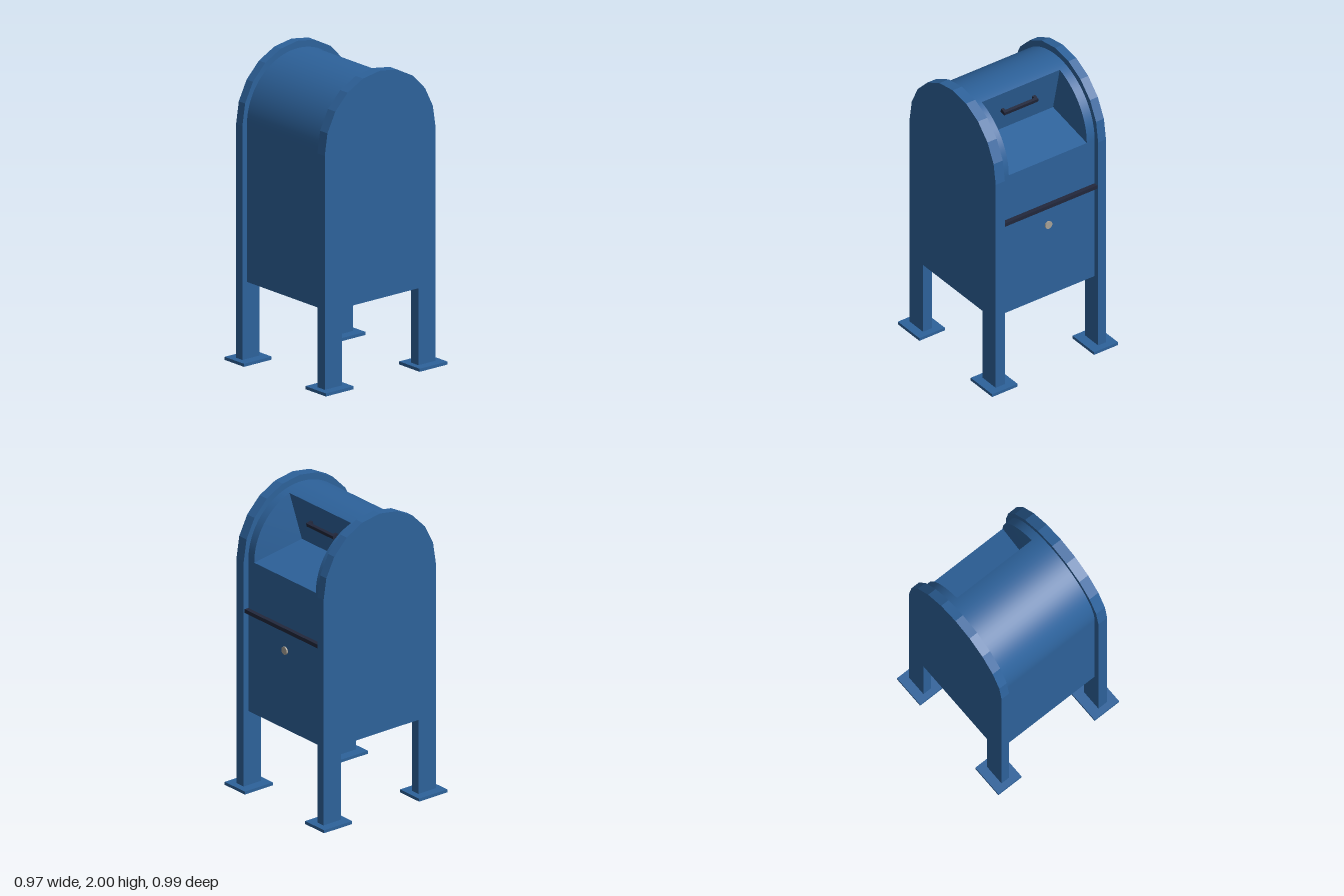
import * as THREE from 'three';

const SPRING = 1.54;            // height where the arch begins
const BOTTOM = 0.52;            // lower edge of the body
const R = 0.413;                // shell arch radius
const X0 = -0.365, X1 = 0.35;   // shell between the side panels
const OX0 = -0.305, OX1 = 0.293; // mail opening

export function createModel() {
  const group = new THREE.Group();
  const blue = new THREE.MeshStandardMaterial({ color: 0x2d629b, side: THREE.DoubleSide });
  const dark = new THREE.MeshStandardMaterial({ color: 0x22283c });
  const metal = new THREE.MeshStandardMaterial({ color: 0xa8a298 });

  const add = (name, geometry, material = blue, parent = group) => {
    const mesh = new THREE.Mesh(geometry, material);
    mesh.name = name;
    parent.add(mesh);
    return mesh;
  };
  const box = (name, x0, x1, y0, y1, z0, z1, material, parent) =>
    add(name, new THREE.BoxGeometry(x1 - x0, y1 - y0, z1 - z0), material, parent)
      .position.set((x0 + x1) / 2, (y0 + y1) / 2, (z0 + z1) / 2);
  // Four corners, anticlockwise seen from the front
  const quad = (name, a, b, c, d) => {
    const g = new THREE.BufferGeometry();
    g.setAttribute('position', new THREE.Float32BufferAttribute([...a, ...b, ...c, ...d], 3));
    g.setIndex([0, 1, 2, 0, 2, 3]);
    g.computeVertexNormals();
    return add(name, g);
  };

  // Side panels: faceted arch on two legs
  const panel = new THREE.Shape();
  panel.moveTo(0.45, 0);
  for (let i = 0; i <= 10; i++) {
    const a = (i * Math.PI) / 10;
    panel.lineTo(0.45 * Math.cos(a), SPRING + 0.46 * Math.sin(a));
  }
  [[-0.45, 0], [-0.31, 0], [-0.31, BOTTOM], [0.31, BOTTOM], [0.31, 0]]
    .forEach(([z, y]) => panel.lineTo(z, y));
  for (const [name, x0, x1] of [['leftPanel', X1, 0.42], ['rightPanel', -0.425, X0]]) {
    const g = new THREE.ExtrudeGeometry(panel, { depth: x1 - x0, bevelEnabled: false });
    g.rotateY(Math.PI / 2);
    add(name, g).position.x = x0;
  }

  // Foot plates
  for (const [x0, x1] of [[0.285, 0.48], [-0.485, -0.3]])
    for (const [z0, z1] of [[0.267, 0.492], [-0.495, -0.27]])
      box('footPlate', x0, x1, 0, 0.02, z0, z1, blue);

  // Curved top, left open at the back for the mail slot
  const openAngle = Math.acos(-0.13 / R);
  const arch = (name, x0, x1, a0, a1, segments) => {
    const g = new THREE.CylinderGeometry(R, R, x1 - x0, segments, 1, true, a0, a1 - a0);
    g.rotateZ(Math.PI / 2);
    add(name, g).position.set((x0 + x1) / 2, SPRING, 0);
  };
  arch('roof', X0, X1, 0, openAngle, 24);
  arch('roofSideRight', X0, OX0, openAngle, Math.PI, 16);
  arch('roofSideLeft', OX1, X1, openAngle, Math.PI, 16);

  // Upright walls of the open-bottomed body
  quad('frontWall', [X0, BOTTOM, R], [X1, BOTTOM, R], [X1, SPRING, R], [X0, SPRING, R]);
  quad('backWall', [X1, BOTTOM, -R], [X0, BOTTOM, -R], [X0, SPRING, -R], [X1, SPRING, -R]);

  // Mail recess, tilted inwards
  const topY = SPRING + R * Math.sin(openAngle);
  const inY = 1.615, inZ = -0.06, inX0 = OX0, inX1 = 0.258;
  quad('recessFloor', [OX1, SPRING, -R], [OX0, SPRING, -R], [inX0, inY, inZ], [inX1, inY, inZ]);
  quad('recessDoor', [inX1, inY, inZ], [inX0, inY, inZ], [OX0, topY, -0.13], [OX1, topY, -0.13]);
  // Cheeks: a fan from the inner corner to the arched edge
  const cheek = (name, edgeX, innerX, facesLeft) => {
    const n = 16, pos = [innerX, inY, inZ], index = [];
    for (let i = 0; i <= n; i++) {
      const a = openAngle + ((Math.PI - openAngle) * i) / n;
      pos.push(edgeX, SPRING + R * Math.sin(a), R * Math.cos(a));
      if (i) index.push(0, ...(facesLeft ? [i + 1, i] : [i, i + 1]));
    }
    const g = new THREE.BufferGeometry();
    g.setAttribute('position', new THREE.Float32BufferAttribute(pos, 3));
    g.setIndex(index);
    g.computeVertexNormals();
    add(name, g);
  };
  cheek('recessCheekLeft', OX1, inX1, false);
  cheek('recessCheekRight', OX0, inX0, true);

  // Pull handle on the tilted door: bar on two posts
  const handle = new THREE.Group();
  handle.name = 'handle';
  box('handleBar', -0.13, 0.13, -0.012, 0.012, -0.04, -0.02, dark, handle);
  for (const x of [-0.12, 0.12])
    box('handlePost', x - 0.01, x + 0.01, -0.012, 0.012, -0.021, 0.005, dark, handle);
  handle.position.set(-0.007, 1.785, -0.097);
  handle.rotation.x = -Math.atan2(inZ + 0.13, topY - inY);
  group.add(handle);

  // Trim strip and lock on the back
  box('trimStrip', X0, X1, 1.19, 1.215, -0.442, -R, dark);
  const lock = new THREE.CylinderGeometry(0.026, 0.026, 0.012, 20);
  lock.rotateX(Math.PI / 2);
  add('lock', lock, metal).position.set(-0.008, 1.05, -R - 0.004);

  return group;
}
